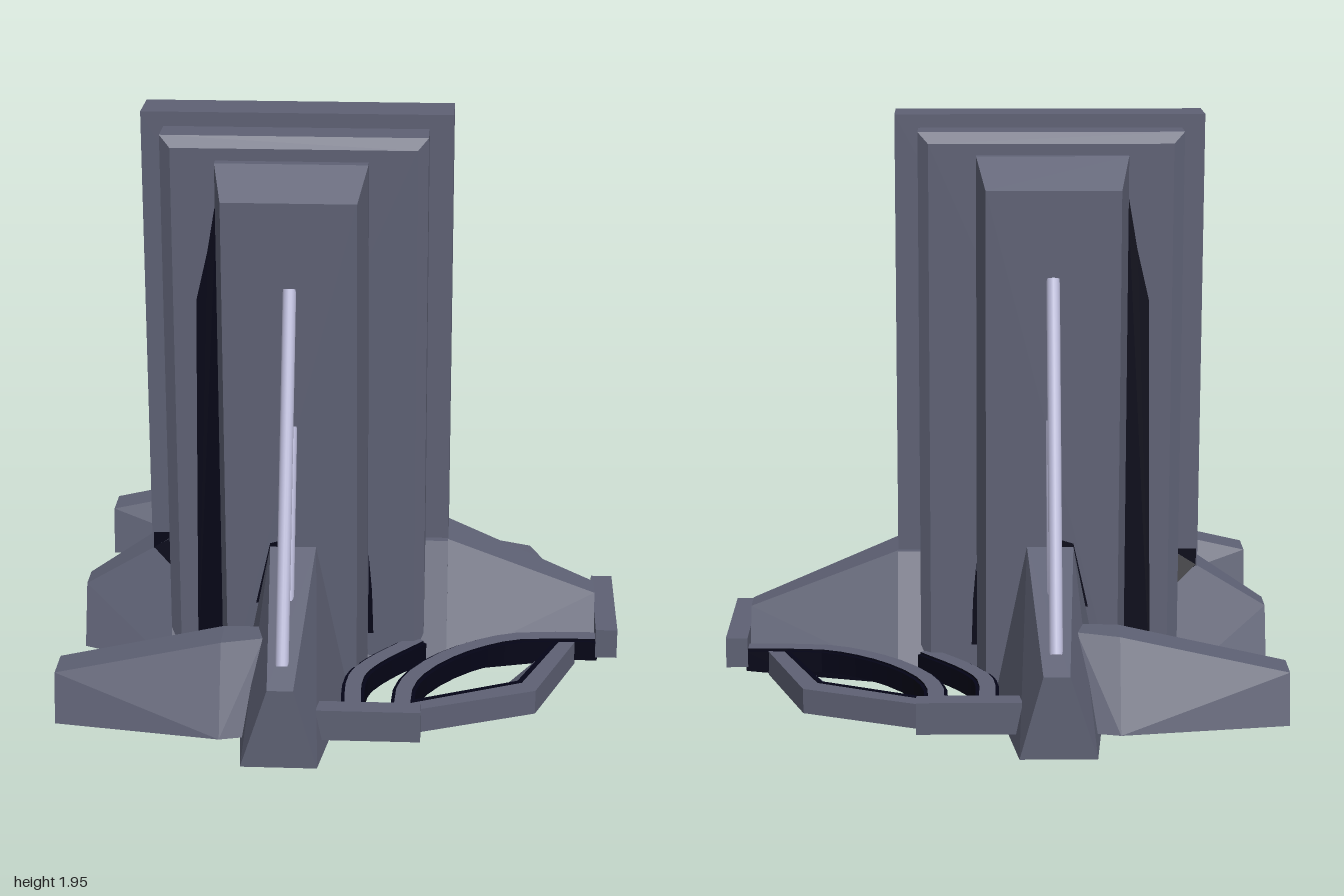
import * as THREE from 'three';
import { ConvexGeometry } from 'three/addons/geometries/ConvexGeometry.js';

const mat = (name, color) => Object.assign(new THREE.MeshStandardMaterial({ color }), { name });

export function createModel() {
  const model = new THREE.Group();
  model.name = 'slabTower';
  const hull = mat('slate hull', 0x5e6174);
  const dark = mat('dark recess', 0x040416);
  const pipe = mat('pale strut', 0xbcbcda);

  const add = (name, geo, material) => {
    const m = new THREE.Mesh(geo, material);
    m.name = name;
    model.add(m);
    return m;
  };

  // Reorders a non-indexed geometry so faces picked by their normal become dark
  const twoTone = (name, geo, isDark) => {
    const p = geo.attributes.position;
    const lists = [[], []];
    const [a, b, c] = [0, 1, 2].map(() => new THREE.Vector3());
    const n = new THREE.Vector3();
    for (let i = 0; i < p.count; i += 3) {
      [a, b, c].forEach((v, k) => v.fromBufferAttribute(p, i + k));
      THREE.Triangle.getNormal(a, b, c, n);
      [a, b, c].forEach((v) => lists[isDark(n) ? 1 : 0].push(v.x, v.y, v.z));
    }
    const out = new THREE.BufferGeometry();
    out.setAttribute('position', new THREE.Float32BufferAttribute([...lists[0], ...lists[1]], 3));
    out.addGroup(0, lists[0].length / 3, 0);
    out.addGroup(lists[0].length / 3, lists[1].length / 3, 1);
    out.computeVertexNormals();
    return add(name, out, [hull, dark]);
  };
  const underside = (n) => n.y < -0.7;
  const noFace = () => false;
  const allFaces = () => true;

  // Convex solid from corner points, mirrored in z by s
  const solid = (name, pts, s = 1, isDark = underside) =>
    twoTone(name, new ConvexGeometry(pts.map(([x, y, z]) => new THREE.Vector3(x, y, z * s))), isDark);
  // Rectangle corners in the x-y plane at depth z
  const rect = (x0, x1, y0, y1, z) => [[x0, y0, z], [x1, y0, z], [x1, y1, z], [x0, y1, z]];
  // Trapezoid corners across z at a given x: bottom span, top span
  const cross = (x, y0, y1, b0, b1, t0, t1) => [[x, y0, b0], [x, y0, b1], [x, y1, t1], [x, y1, t0]];
  const box = (name, x0, x1, y0, y1, z0, z1, material) => {
    const g = new THREE.BoxGeometry(x1 - x0, y1 - y0, z1 - z0);
    g.translate((x0 + x1) / 2, (y0 + y1) / 2, (z0 + z1) / 2);
    return add(name, g, material);
  };
  // Thin dark panel lying on a slab face
  const panel = (pts, z, s) => {
    const g = new THREE.ExtrudeGeometry(new THREE.Shape(pts.map((p) => new THREE.Vector2(...p))),
      { depth: 0.0015, bevelEnabled: false });
    g.translate(0, 0, s > 0 ? z : -z - 0.0015);
    add('darkPanel', g, dark);
  };
  // Flat rail following a curve in the ground plane
  const rail = (name, pts, width, y0, y1, s, isDark) => {
    const curve = new THREE.CatmullRomCurve3(pts.map(([x, z]) => new THREE.Vector3(x, z * s, 0)), false, 'centripetal');
    const left = [], right = [];
    for (let i = 0; i <= 12; i++) {
      const p = curve.getPoint(i / 12), t = curve.getTangent(i / 12);
      left.push(new THREE.Vector2(p.x - t.y * width / 2, p.y + t.x * width / 2));
      right.unshift(new THREE.Vector2(p.x + t.y * width / 2, p.y - t.x * width / 2));
    }
    const g = new THREE.ExtrudeGeometry(new THREE.Shape([...left, ...right]), { depth: y1 - y0, bevelEnabled: false });
    g.rotateX(Math.PI / 2);
    g.translate(0, y1, 0);
    twoTone(name, g, isDark);
  };
  const strut = (y0, z0, y1, z1, s) => {
    const a = new THREE.Vector3(-0.178, y0, z0 * s), b = new THREE.Vector3(-0.178, y1, z1 * s);
    const m = add('strut', new THREE.CylinderGeometry(0.022, 0.022, a.distanceTo(b), 16), pipe);
    m.position.copy(a).add(b).multiplyScalar(0.5);
    m.quaternion.setFromUnitVectors(new THREE.Vector3(0, 1, 0), b.sub(a).normalize());
  };

  // Central slab and the dark core between the slabs
  solid('centralSlab', [...rect(-0.7, 0.345, 0.02, 1.95, -0.085), ...rect(-0.7, 0.345, 0.02, 1.95, 0.085)]);
  box('darkCore', -0.26, -0.1, 0.005, 0.55, -0.25, 0.25, dark);
  box('basePlate', -0.58, 0.34, 0, 0.035, -0.265, 0.265, dark);

  // Body under the tower and long legs along x
  const root = (x, y0) => cross(x, y0, 0.43, -0.272, 0.272, -0.113, 0.113);
  solid('towerBase', [...root(-0.62, 0.03), ...root(0.345, 0.03)]);
  solid('rearLeg', [...cross(-0.945, 0, 0.21, -0.13, 0.13, -0.05, 0.05),
    ...cross(-0.62, 0, 0.42, -0.272, 0.272, -0.095, 0.095)], 1, noFace);
  solid('forwardLeg', [...cross(0.865, 0.03, 0.215, -0.13, 0.13, -0.05, 0.05),
    ...cross(0.345, 0.03, 0.43, -0.272, 0.272, -0.095, 0.095)]);
  solid('forwardLegSole', [...cross(0.865, 0, 0.03, -0.13, 0.13, -0.13, 0.13),
    ...cross(0.335, 0, 0.03, -0.27, 0.27, -0.27, 0.27)], 1, allFaces);
  box('endPlate', 0.865, 0.94, 0.05, 0.155, -0.23, 0.23, hull);

  for (const s of [1, -1]) {
    // Stepped slabs with chamfered outer edges
    solid('middleSlab', [...rect(-0.62, 0.265, 0.02, 1.908, 0.112), ...rect(-0.62, 0.265, 0.02, 1.908, 0.232),
      ...rect(-0.583, 0.23, 0.02, 1.872, 0.262)], s);
    solid('outerSlab', [...rect(-0.43, 0.072, 0.02, 1.84, 0.295), ...rect(-0.43, 0.072, 0.02, 1.84, 0.33),
      ...rect(-0.4, 0.042, 0.02, 1.745, 0.462)], s);
    const [c0, c1] = s > 0 ? [0.25, 0.296] : [-0.296, -0.25];
    box('darkSpacer', -0.41, 0.05, 0.005, 0.55, c0, c1, dark);

    // Dark panels on the slab faces
    panel([[-0.43, 1.72], [-0.465, 1.52], [-0.505, 1.35], [-0.525, 0.04], [-0.43, 0.04]], 0.262, s);
    panel([[0.072, 0.14], [0.09, 0.14], [0.085, 0.3], [0.072, 0.45]], 0.262, s);
    panel([[-0.695, 0.43], [-0.695, 0.35], [-0.62, 0.31], [-0.62, 0.43]], 0.085, s);
    panel([[-0.3, 0.34], [-0.25, 0.56], [-0.2, 0.575], [-0.2, 0.5], [-0.25, 0.34]], 0.462, s);
    // Dark corner on the flank of the rear leg
    const corner = [[-0.695, 0.371, 0.084], [-0.615, 0.423, 0.095], [-0.615, 0.312, 0.142]];
    solid('darkCorner', corner.flatMap(([x, y, z]) => [[x, y, z], [x, y + 0.002, z + 0.004]]), s, allFaces);

    // Buttress foot
    solid('buttressFoot', [
      [-0.36, 0.005, 0.46], [0.015, 0.005, 0.46], [-0.095, 0.55, 0.46], [-0.25, 0.55, 0.46],
      [-0.31, 0.005, 1], [-0.06, 0.005, 1], [-0.135, 0.28, 1], [-0.22, 0.28, 1]], s);

    // Side leg with a dark tip
    solid('sideLeg', [...cross(-0.945, 0.04, 0.21, 0.61, 0.8, 0.64, 0.765),
      ...cross(-0.39, 0.04, 0.335, 0.53, 0.885, 0.64, 0.77),
      ...cross(-0.25, 0.04, 0.345, 0.6, 0.85, 0.66, 0.75)], s, (n) => n.x < -0.9);

    // Struts from the outer slab to the foot
    strut(0.32, 0.9, 1.455, 0.455, s);
    strut(0.44, 0.655, 0.98, 0.455, s);

    // Bracket and curved rails, each on a slightly wider dark bed
    const [z0, z1] = s > 0 ? [0.81, 0.88] : [-0.88, -0.81];
    box('bracket', -0.07, 0.27, 0.045, 0.152, z0, z1, hull);
    for (const path of [
      [[0.045, 0.82], [0.045, 0.54], [0.1, 0.42], [0.245, 0.24]],
      [[0.21, 0.82], [0.21, 0.63], [0.25, 0.5], [0.35, 0.36], [0.47, 0.26], [0.6, 0.2], [0.87, 0.185]],
    ]) {
      rail('curvedRail', path, 0.054, 0.03, 0.112, s, (n) => n.y < 0.5 && n.y > -0.5);
      rail('railBed', path, 0.078, 0.035, 0.105, s, (n) => n.y > -0.5);
    }

    // Angular outer arm: each station is outer, inner top and inner bottom edge
    const stations = [
      [[0.23, 0.775], [0.23, 0.72], [0.23, 0.68]],
      [[0.65, 0.608], [0.605, 0.55], [0.51, 0.48]],
      [[0.795, 0.22], [0.74, 0.22], [0.71, 0.22]],
    ];
    const body = stations.map(([o, t, b]) =>
      [[o[0], 0.105, o[1]], [o[0], 0.02, o[1]], [t[0], 0.105, t[1]], [b[0], 0.02, b[1]]]);
    // Dark groove of even width along the inner top edge of the arm
    const groove = stations.map(([, t, b]) => {
      const k = 0.018 / Math.hypot(b[0] - t[0], b[1] - t[1]);
      return [0, k].flatMap((f) =>
        [0.095, 0.107].map((y) => [t[0] + (b[0] - t[0]) * f, y, t[1] + (b[1] - t[1]) * f]));
    });
    for (let i = 0; i < 2; i++) {
      solid('outerArm', [...body[i], ...body[i + 1]], s, noFace);
      solid('armGroove', [...groove[i], ...groove[i + 1]], s, allFaces);
    }
  }
  return model;
}
